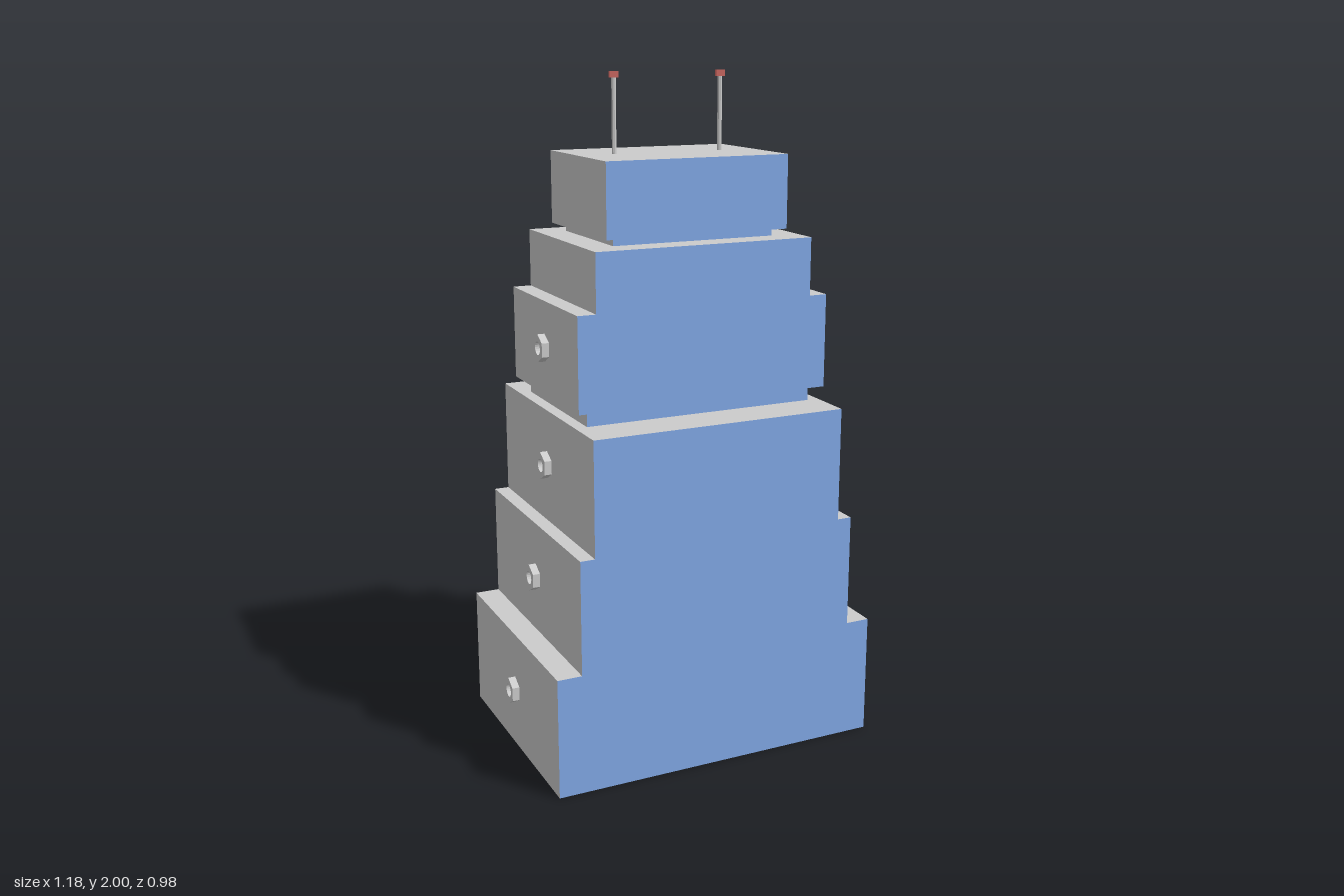
import * as THREE from 'three';

const grey = new THREE.MeshStandardMaterial({ color: 0xcccccc, flatShading: true, side: THREE.DoubleSide });
const blue = new THREE.MeshStandardMaterial({ color: 0x80a8e6, flatShading: true, side: THREE.DoubleSide });
const red = new THREE.MeshStandardMaterial({ color: 0xd46c66, flatShading: true });

function add(parent, name, geometry, material, x = 0, y = 0, z = 0) {
  const mesh = new THREE.Mesh(geometry, material);
  mesh.name = name;
  mesh.position.set(x, y, z);
  parent.add(mesh);
  return mesh;
}

// A box with grey sides, top and bottom, and blue front and back panels
function addTier(parent, { name, y0, y1, hw, hd, open }) {
  const tier = new THREE.Group();
  tier.name = name;
  const box = new THREE.BoxGeometry(2 * hw, y1 - y0, 2 * hd);
  const index = Array.from(box.index.array);
  const part = (from, to) => {
    const g = box.clone();
    g.clearGroups();
    g.setIndex(index.slice(from, to));
    return g.toNonIndexed();
  };
  const y = (y0 + y1) / 2;
  add(tier, name + 'Shell', part(0, open ? 18 : 24), grey, 0, y, 0);
  add(tier, name + 'Panels', part(24, 36), blue, 0, y, 0);
  parent.add(tier);
}

// Hexagonal nut with a round bore, facing +z, plus the bolt end inside it
function makeNut() {
  const nut = new THREE.Group();
  nut.name = 'sideNut';
  const shape = new THREE.Shape();
  for (let i = 0; i < 6; i++) {
    const a = Math.PI / 2 + (i * Math.PI) / 3;
    shape[i ? 'lineTo' : 'moveTo'](0.041 * Math.cos(a), 0.041 * Math.sin(a));
  }
  shape.closePath();
  shape.holes.push(new THREE.Path().absarc(0, 0, 0.02, 0, Math.PI * 2, true));
  add(nut, 'nutRing', new THREE.ExtrudeGeometry(shape, { depth: 0.022, bevelEnabled: false, curveSegments: 10 }), grey);
  add(nut, 'boltEnd', new THREE.CircleGeometry(0.02, 20), grey, 0, 0, 0.008);
  return nut;
}

export function createModel() {
  const model = new THREE.Group();
  model.name = 'steppedRobot';
  const body = new THREE.Group();
  body.name = 'body';
  body.rotation.y = 0.294;
  model.add(body);

  // Stacked tiers, from the open base to the head
  const tiers = [
    { name: 'base', y0: 0, y1: 0.363, hw: 0.509, hd: 0.359, open: true, nut: 0.183 },
    { name: 'lowerBody', y0: 0.363, y1: 0.703, hw: 0.435, hd: 0.359, nut: 0.534 },
    { name: 'upperBody', y0: 0.703, y1: 1.043, hw: 0.391, hd: 0.359, nut: 0.877 },
    { name: 'waist', y0: 1.043, y1: 1.088, hw: 0.355, hd: 0.225 },
    { name: 'chest', y0: 1.088, y1: 1.365, hw: 0.391, hd: 0.256, nut: 1.228 },
    { name: 'shoulders', y0: 1.365, y1: 1.535, hw: 0.336, hd: 0.256 },
    { name: 'neck', y0: 1.535, y1: 1.557, hw: 0.25, hd: 0.175 },
    { name: 'head', y0: 1.557, y1: 1.77, hw: 0.282, hd: 0.207 },
  ];
  for (const t of tiers) {
    addTier(body, t);
    if (!t.nut) continue;
    for (const s of [-1, 1]) {
      const nut = makeNut();
      nut.position.set(s * t.hw, t.nut, 0);
      nut.rotation.y = (s * Math.PI) / 2;
      body.add(nut);
    }
  }

  for (const s of [-1, 1]) {
    // Eyes on the back of the head: grey upper half, blue lower half
    const eye = new THREE.Group();
    eye.name = 'eye';
    eye.position.set(s * 0.115, 1.66, -0.21);
    eye.rotation.y = Math.PI;
    add(eye, 'upperEye', new THREE.CircleGeometry(0.073, 24, 0, Math.PI), grey);
    add(eye, 'lowerEye', new THREE.CircleGeometry(0.073, 24, Math.PI, Math.PI), blue);
    body.add(eye);

    // Antennas with small square tips
    add(body, 'antennaRod', new THREE.CylinderGeometry(0.007, 0.007, 0.22, 8), grey, s * 0.168, 1.876, 0);
    const tip = add(body, 'antennaTip', new THREE.BoxGeometry(0.025, 0.018, 0.025), red, s * 0.168, 1.991, 0);
    tip.rotation.y = -body.rotation.y;
  }
  return model;
}
